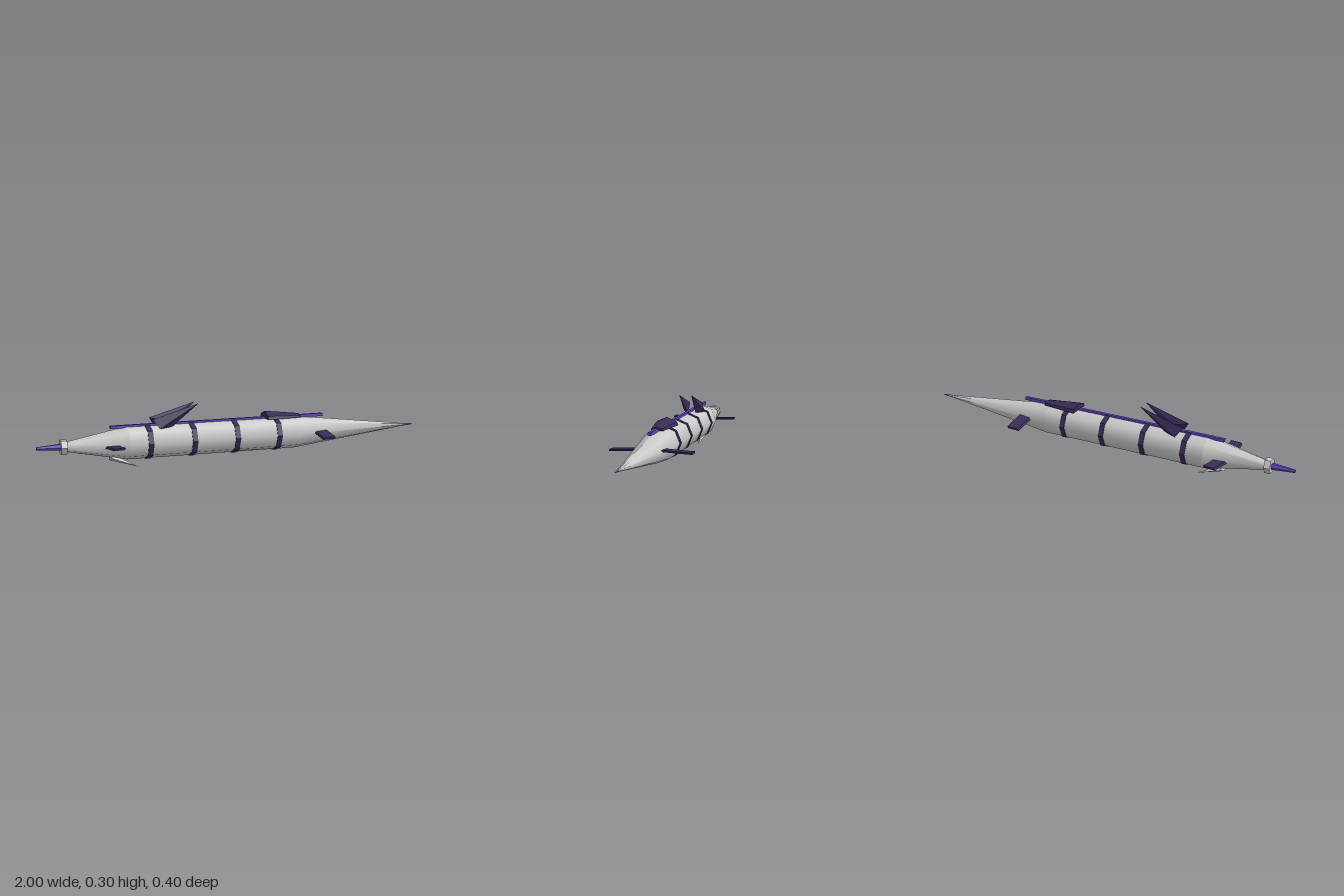
import * as THREE from 'three';
import { ConvexGeometry } from 'three/addons/geometries/ConvexGeometry.js';

const AXIS_Y = 0.126;

export function createModel() {
  const model = new THREE.Group();
  const mat = (color, flatShading = false) => new THREE.MeshStandardMaterial({ color, flatShading });
  const grey = mat(0xcccccc), greyFlat = mat(0xcccccc, true);
  const dark = mat(0x3a2c58, true), purple = mat(0x6a45c8, true);

  const add = (name, geometry, material) => {
    const mesh = new THREE.Mesh(geometry, material);
    mesh.name = name;
    model.add(mesh);
    return mesh;
  };

  // Tapered section lying along x, from x0 (radius r0) to x1 (radius r1)
  const section = (name, x0, x1, r0, r1, sides, material, open = false) => {
    const g = new THREE.CylinderGeometry(r1, r0, x1 - x0, sides, 1, open);
    g.rotateZ(-Math.PI / 2);
    g.translate((x0 + x1) / 2, AXIS_Y, 0);
    return add(name, g, material);
  };

  // Faceted solid through a few corners; side = -1 mirrors it in z
  const solid = (name, corners, material, side = 1) =>
    add(name, new ConvexGeometry(corners.map(([x, y, z]) => new THREE.Vector3(x, y, z * side))), material);

  // Hull
  section('hull', -0.56, 0.32, 0.082, 0.082, 8, grey, true);
  section('nose', 0.32, 0.99, 0.082, 0.001, 8, grey);
  section('tailCone', -0.87, -0.56, 0.022, 0.082, 8, grey);
  section('noseTip', 0.93, 1.0, 0.008, 0.002, 4, purple);

  // Hull bands
  for (const x of [-0.455, -0.232, -0.009, 0.214]) {
    section('hullBand', x - 0.013, x + 0.013, 0.086, 0.086, 8, dark);
  }

  // Tail collar and spike
  section('tailCollar', -0.885, -0.855, 0.038, 0.038, 6, greyFlat).rotation.x = 0;
  section('tailSpike', -1.0, -0.87, 0.008, 0.018, 6, purple);

  // Spine strip
  const spine = add('spine', new THREE.BoxGeometry(1.115, 0.015, 0.016), purple);
  spine.position.set(-0.082, 0.207, 0);

  // Ridged hood over the front of the spine
  const hood = [[0.16, 0.243, 0], [0.345, 0.221, 0]];
  for (const s of [1, -1]) {
    hood.push([0.16, 0.222, 0.05 * s], [0.16, 0.205, 0.058 * s]);
    hood.push([0.345, 0.213, 0.027 * s], [0.345, 0.203, 0.03 * s]);
  }
  solid('hood', hood, dark);

  // Keel fin below the tail
  solid('keelFin', [
    [-0.63, 0.076, 0], [-0.648, 0.047, 0],
    [-0.64, 0.06, 0.031], [-0.64, 0.06, -0.031], [-0.5, 0.003, 0],
  ], greyFlat);

  for (const side of [1, -1]) {
    // Swept dorsal fins
    solid('dorsalFin', [
      [-0.435, 0.238, 0.034], [-0.404, 0.194, 0.056],
      [-0.334, 0.195, 0.022], [-0.37, 0.225, 0.018], [-0.2, 0.306, 0.032],
    ], dark, side);

    // Side fins: inner and outer ends as [x, y, z], with a thin slanted section
    const sideFin = (name, inner, outer, chord) => {
      const corners = [];
      for (const [x, y, z] of [inner, outer]) {
        for (const e of [-1, 1]) {
          corners.push([x + e * chord / 2 - 0.003, y - 0.005 + e * 0.001, z]);
          corners.push([x + e * chord / 2 + 0.003, y + 0.005 + e * 0.001, z]);
        }
      }
      solid(name, corners, dark, side);
    };
    sideFin('frontFin', [0.445, 0.13, 0.05], [0.43, 0.12, 0.2], 0.062);
    sideFin('rearFin', [-0.648, 0.121, 0.05], [-0.635, 0.129, 0.167], 0.054);
  }

  return model;
}
